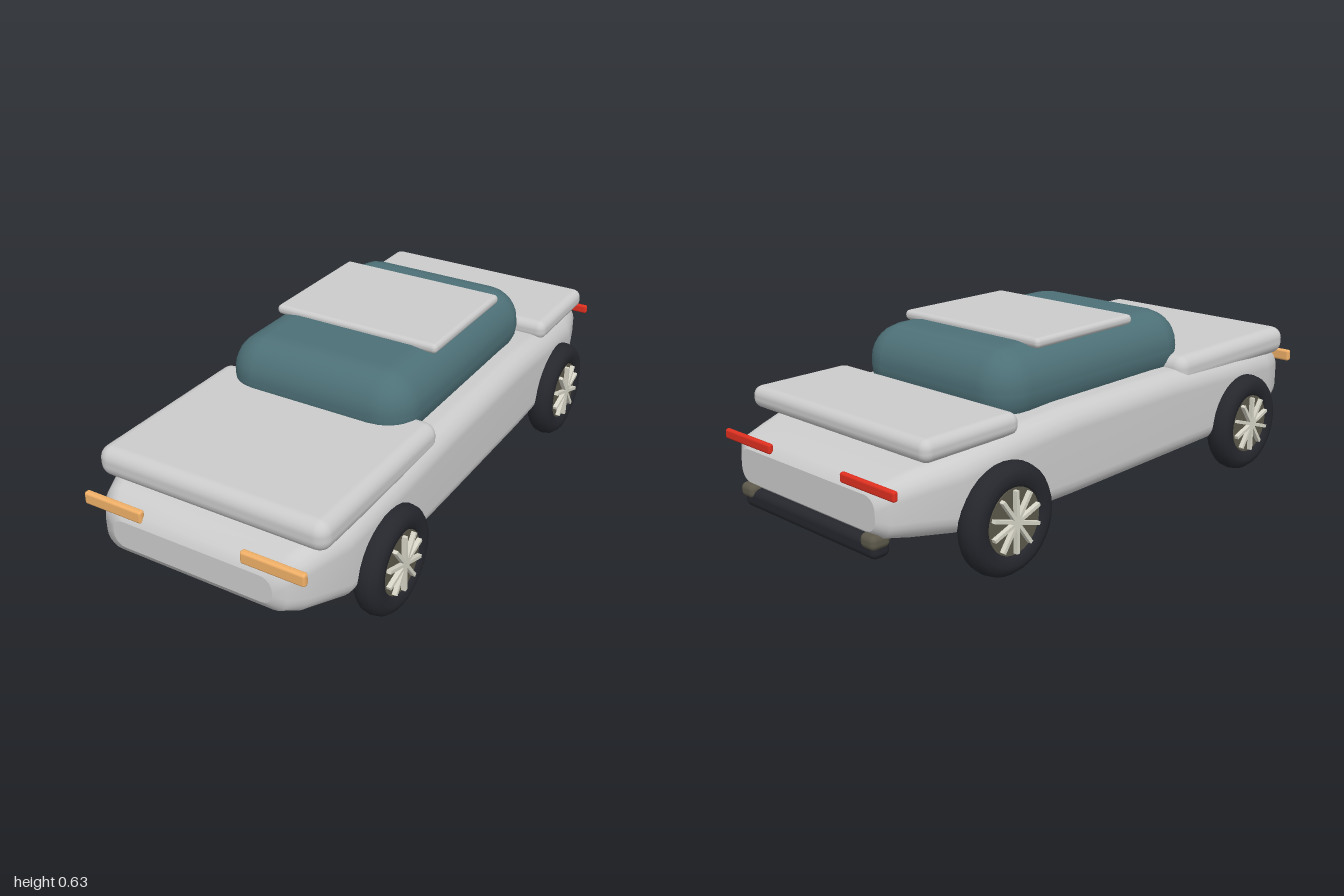
import * as THREE from 'three';
import { RoundedBoxGeometry } from 'three/addons/geometries/RoundedBoxGeometry.js';

const mat = (color) => new THREE.MeshStandardMaterial({ color });
const paint = mat(0xcccccc);
const glass = mat(0x4d7077);
const rubber = mat(0x25272d);
const rimMetal = mat(0x5c584a);
const spokeMetal = mat(0xd8d6c8);
const amber = mat(0xf0b068);
const red = mat(0xe03020);

function add(parent, name, geometry, material, x = 0, y = 0, z = 0) {
  const mesh = new THREE.Mesh(geometry, material);
  mesh.name = name;
  mesh.position.set(x, y, z);
  parent.add(mesh);
  return mesh;
}

// Rounded box given by its extents on each axis
function slab(parent, name, material, [x0, x1], [y0, y1], [z0, z1], radius, segments = 3) {
  const geometry = new RoundedBoxGeometry(x1 - x0, y1 - y0, z1 - z0, segments, radius);
  return add(parent, name, geometry, material, (x0 + x1) / 2, (y0 + y1) / 2, (z0 + z1) / 2);
}

// Rounded cross-section, counter-clockwise seen from the front
function section([z, w, y0, y1, rLow, rTop]) {
  const corners = [
    [w - rLow, y0 + rLow, rLow, -Math.PI / 2],
    [w - rTop, y1 - rTop, rTop, 0],
    [-w + rTop, y1 - rTop, rTop, Math.PI / 2],
    [-w + rLow, y0 + rLow, rLow, Math.PI],
  ];
  const steps = 5;
  return corners.flatMap(([cx, cy, r, start]) =>
    Array.from({ length: steps + 1 }, (_, k) => {
      const a = start + (k / steps) * Math.PI / 2;
      return [cx + r * Math.cos(a), cy + r * Math.sin(a), z];
    }));
}

// Skin through the cross-sections, front to back, with flat end caps
function loft(sections) {
  const rings = sections.map(section);
  const n = rings[0].length;
  const positions = rings.flat(2);
  const index = [];
  for (let i = 0; i < rings.length - 1; i++) {
    for (let j = 0; j < n; j++) {
      const k = (j + 1) % n;
      const a = i * n + j, b = a + n, c = (i + 1) * n + k, d = i * n + k;
      index.push(a, b, c, a, c, d);
    }
  }
  for (const [ring, front] of [[rings[0], true], [rings[rings.length - 1], false]]) {
    const base = positions.length / 3;
    positions.push(...ring.flat());
    for (let j = 1; j < n - 1; j++) {
      if (front) index.push(base, base + j, base + j + 1);
      else index.push(base, base + j + 1, base + j);
    }
  }
  const geometry = new THREE.BufferGeometry();
  geometry.setAttribute('position', new THREE.Float32BufferAttribute(positions, 3));
  geometry.setIndex(index);
  geometry.computeVertexNormals();
  return geometry;
}

// Wheel whose outer face looks along +x
function createWheel() {
  const wheel = new THREE.Group();
  const profile = [
    [0.095, -0.03], [0.11, -0.04], [0.135, -0.045], [0.155, -0.038], [0.168, -0.022],
    [0.172, 0], [0.168, 0.022], [0.155, 0.038], [0.135, 0.045], [0.11, 0.04],
    [0.1, 0.03], [0.095, -0.03],
  ].map(([r, y]) => new THREE.Vector2(r, y));
  add(wheel, 'tyre', new THREE.LatheGeometry(profile, 32), rubber).rotation.z = -Math.PI / 2;
  add(wheel, 'rim', new THREE.CylinderGeometry(0.102, 0.102, 0.07, 32), rimMetal)
    .rotation.z = -Math.PI / 2;
  const spokeCount = 10;
  for (let i = 0; i < spokeCount; i++) {
    const arm = new THREE.Group();
    arm.rotation.x = (i / spokeCount) * Math.PI * 2;
    add(arm, 'spoke', new THREE.BoxGeometry(0.016, 0.082, 0.011), spokeMetal, 0.042, 0.055, 0);
    wheel.add(arm);
  }
  add(wheel, 'hub', new THREE.CylinderGeometry(0.018, 0.018, 0.02, 16), spokeMetal, 0.04)
    .rotation.z = -Math.PI / 2;
  return wheel;
}

export function createModel() {
  const car = new THREE.Group();
  car.name = 'car';

  // Lower body: z, half width, bottom, top, lower radius, upper radius
  add(car, 'body', loft([
    [1.0, 0.28, 0.215, 0.305, 0.04, 0.04],
    [0.985, 0.32, 0.19, 0.335, 0.05, 0.05],
    [0.94, 0.355, 0.17, 0.365, 0.06, 0.06],
    [0.8, 0.41, 0.147, 0.395, 0.06, 0.07],
    [0.6, 0.42, 0.14, 0.41, 0.06, 0.07],
    [0.2, 0.422, 0.14, 0.428, 0.06, 0.07],
    [-0.3, 0.422, 0.14, 0.43, 0.06, 0.07],
    [-0.55, 0.42, 0.145, 0.415, 0.06, 0.07],
    [-0.75, 0.41, 0.157, 0.39, 0.06, 0.07],
    [-0.88, 0.37, 0.173, 0.365, 0.06, 0.06],
    [-0.96, 0.345, 0.19, 0.345, 0.05, 0.05],
    [-0.985, 0.31, 0.21, 0.315, 0.04, 0.04],
  ]), paint);

  // Upper panels and glasshouse
  slab(car, 'hood', paint, [-0.4, 0.4], [0.365, 0.465], [0.27, 0.92], 0.042);
  slab(car, 'trunkLid', paint, [-0.4, 0.4], [0.395, 0.465], [-0.88, -0.51], 0.03);
  slab(car, 'cabinGlass', glass, [-0.335, 0.335], [0.36, 0.61], [-0.515, 0.395], 0.12);
  slab(car, 'roof', paint, [-0.3, 0.3], [0.595, 0.628], [-0.335, 0.122], 0.015);

  // Rear bumper
  slab(car, 'rearBumper', rubber, [-0.305, 0.305], [0.128, 0.19], [-0.99, -0.925], 0.022);

  for (const side of [1, -1]) {
    const label = side > 0 ? 'left' : 'right';
    const span = (a, b) => (side > 0 ? [a, b] : [-b, -a]);
    slab(car, label + 'Headlight', amber, span(0.173, 0.385), [0.316, 0.357], [0.975, 0.997], 0.008);
    slab(car, label + 'TailLight', red, span(0.163, 0.39), [0.322, 0.353], [-0.985, -0.967], 0.007);
    slab(car, label + 'BumperEnd', rimMetal, span(0.25, 0.312), [0.16, 0.205], [-0.998, -0.93], 0.018);

    for (const [end, z] of [['Front', 0.605], ['Rear', -0.605]]) {
      const wheel = createWheel();
      wheel.name = label + end + 'Wheel';
      wheel.position.set(side * 0.425, 0.174, z);
      if (side < 0) wheel.rotation.y = Math.PI;
      car.add(wheel);
    }
  }
  return car;
}
